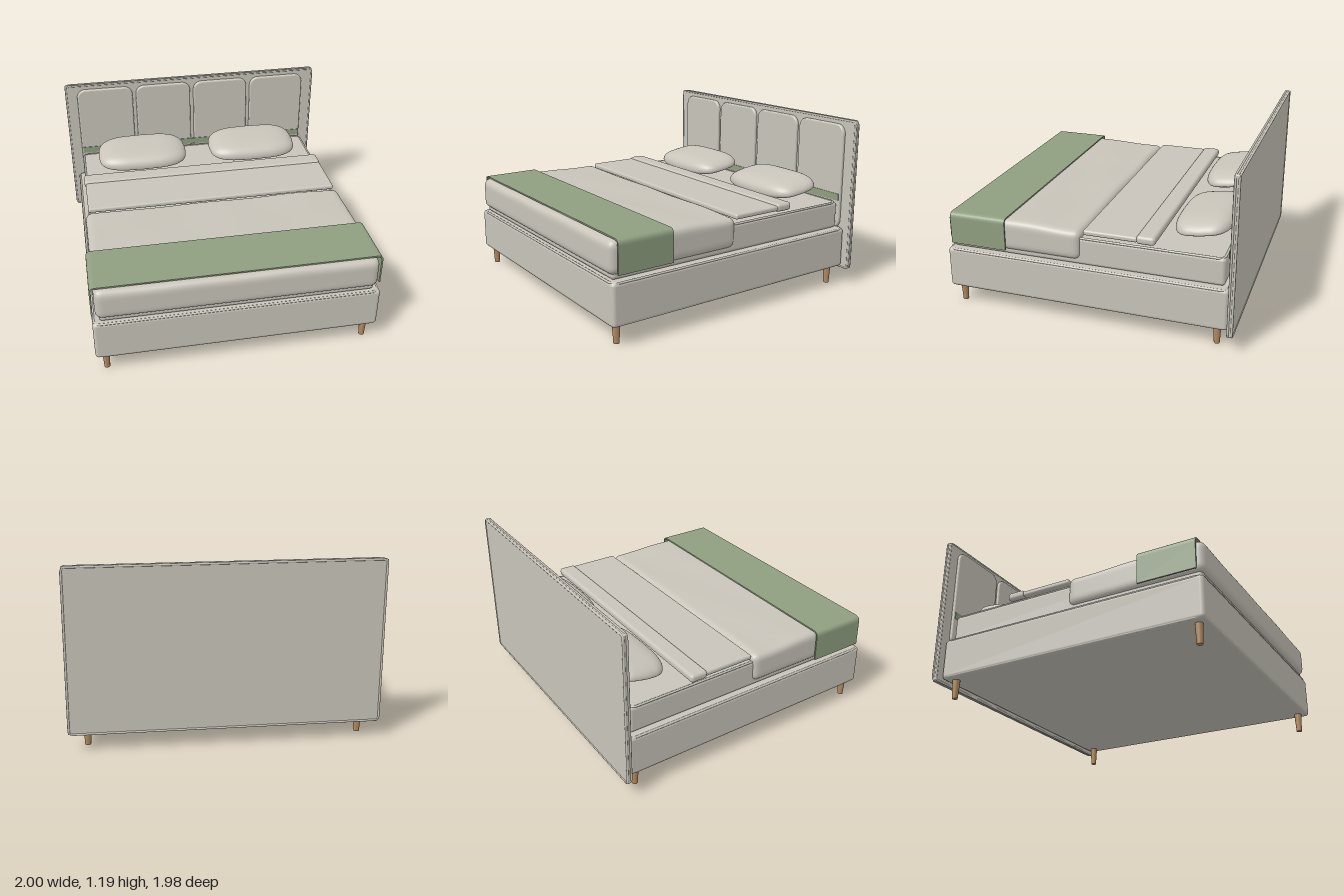
import * as THREE from 'three';
import { mergeVertices } from 'three/addons/utils/BufferGeometryUtils.js';
import { RoundedBoxGeometry } from 'three/addons/geometries/RoundedBoxGeometry.js';

const material = (name, color, side = THREE.FrontSide) => {
  const m = new THREE.MeshStandardMaterial({ color, side });
  m.name = name;
  return m;
};

// Rounded rectangle centred on the origin
function roundedRect(w, h, r) {
  const x = w / 2, y = h / 2, s = new THREE.Shape();
  s.moveTo(-x + r, -y);
  s.lineTo(x - r, -y).absarc(x - r, -y + r, r, -Math.PI / 2, 0);
  s.lineTo(x, y - r).absarc(x - r, y - r, r, 0, Math.PI / 2);
  s.lineTo(-x + r, y).absarc(-x + r, y - r, r, Math.PI / 2, Math.PI);
  s.lineTo(-x, -y + r).absarc(-x + r, -y + r, r, Math.PI, Math.PI * 1.5);
  return s;
}

// Closed cord following a rounded rectangle in the xy plane
function pipingGeometry(w, h, r, radius) {
  const outline = roundedRect(w, h, r).getPoints(6);
  const path = new THREE.CurvePath();
  const pts = outline.map(p => new THREE.Vector3(p.x, p.y, 0))
    .filter((p, i, a) => i === 0 || p.distanceTo(a[i - 1]) > 1e-5);
  if (pts[0].distanceTo(pts[pts.length - 1]) < 1e-5) pts.pop();
  pts.forEach((p, i) => path.add(new THREE.LineCurve3(p, pts[(i + 1) % pts.length])));
  return new THREE.TubeGeometry(path, 240, radius, 8, true);
}

// Moves every vertex by a rule, then smooths the normals
function reshape(geo, rule) {
  const pos = geo.attributes.position, v = new THREE.Vector3();
  for (let i = 0; i < pos.count; i++) {
    rule(v.fromBufferAttribute(pos, i));
    pos.setXYZ(i, v.x, v.y, v.z);
  }
  geo.deleteAttribute('uv');
  geo.deleteAttribute('normal');
  const merged = mergeVertices(geo, 1e-5);
  merged.computeVertexNormals();
  return merged;
}

// Soft box with a gently rumpled top
function duvetGeometry(w, h, d, r) {
  const half = new THREE.Vector3(w / 2, h / 2, d / 2);
  const inner = half.clone().subScalar(r);
  const ease = t => Math.sin(t * Math.PI / 2);
  return reshape(new THREE.BoxGeometry(2, 2, 2, 44, 16, 36), p => {
    p.set(ease(p.x), ease(p.y), ease(p.z)).multiply(half);
    const core = p.clone().clamp(inner.clone().negate(), inner);
    p.sub(core).setLength(r).add(core);
    const top = THREE.MathUtils.smoothstep(p.y, 0, half.y);
    const back = THREE.MathUtils.smoothstep(-p.z, -0.1, half.z);
    p.y += top * (0.004 * Math.sin(p.x * 7 + p.z * 5) * Math.cos(p.z * 9 - p.x * 3) - 0.01 * back);
    p.z += back * 0.004 * Math.sin(p.x * 8);
  });
}

// Plump pillow: squarish footprint, pinched ends, flatter underside
function pillowGeometry() {
  const soft = (a, e) => Math.sign(a) * Math.pow(Math.abs(a), e);
  return reshape(new THREE.SphereGeometry(1, 48, 32), p => {
    const r = Math.hypot(p.x, p.z) || 1e-9;
    const spread = Math.pow(Math.min(r, 1), 0.55);
    const u = soft(p.x / r, 0.4) * spread, v = soft(p.z / r, 0.4) * spread;
    p.set(0.345 * u * (1 - 0.1 * v * v), p.y * (p.y > 0 ? 0.08 : 0.04), 0.2 * v * (1 - 0.12 * u * u));
  });
}

export function createModel() {
  const bed = new THREE.Group();
  bed.name = 'bed';
  const fabric = material('warm grey fabric', 0xc8c4ba);
  const green = material('sage green cloth', 0x8f9f80, THREE.DoubleSide);
  const wood = material('light wood', 0xb08a60);

  const add = (name, geo, mat, x, y, z) => {
    const mesh = new THREE.Mesh(geo, mat);
    mesh.name = name;
    mesh.position.set(x, y, z);
    bed.add(mesh);
    return mesh;
  };
  // Rounded block given by its limits
  const block = (name, x0, x1, y0, y1, z0, z1, r) =>
    add(name, new RoundedBoxGeometry(x1 - x0, y1 - y0, z1 - z0, 4, r), fabric,
      (x0 + x1) / 2, (y0 + y1) / 2, (z0 + z1) / 2);
  const flatPiping = (name, w, d, y, z) => {
    add(name, pipingGeometry(w, d, 0.04, 0.008), fabric, 0, y, z).rotation.x = Math.PI / 2;
  };

  // Upholstered base with corded edges
  block('base', -0.955, 0.955, 0.13, 0.415, -0.945, 0.985, 0.025);
  flatPiping('baseLowerPiping', 1.89, 1.91, 0.143, 0.02);
  flatPiping('baseUpperPiping', 1.89, 1.91, 0.408, 0.02);

  // Mattress
  block('mattress', -0.91, 0.91, 0.415, 0.605, -0.91, 0.96, 0.025);
  flatPiping('mattressLowerPiping', 1.8, 1.85, 0.432, 0.025);
  flatPiping('mattressUpperPiping', 1.8, 1.85, 0.6, 0.025);

  // Headboard slab, cords and four padded panels
  block('headboard', -0.995, 0.995, 0.115, 1.185, -0.985, -0.952, 0.008);
  for (const z of [-0.982, -0.957])
    add('headboardPiping', pipingGeometry(1.984, 1.064, 0.012, 0.008), fabric, 0, 0.65, z);
  const panel = new THREE.ExtrudeGeometry(roundedRect(0.41, 0.73, 0.055), {
    depth: 0.01, bevelThickness: 0.012, bevelSize: 0.012, bevelSegments: 4, curveSegments: 8,
  });
  for (const x of [-0.693, -0.232, 0.229, 0.69])
    add('headboardPanel', panel, fabric, x, 0.773, -0.952);
  add('headboardGreenStrip', new THREE.BoxGeometry(1.8, 0.05, 0.004), green, 0, 0.63, -0.926);

  // Duvet over the foot half
  add('duvet', duvetGeometry(1.865, 0.218, 0.955, 0.05), fabric, 0, 0.556, 0.508);

  // Folded sheet and its turned edge
  block('foldedSheet', -0.91, 0.91, 0.627, 0.663, -0.345, 0.02, 0.014);
  block('sheetFold', -0.918, 0.912, 0.618, 0.674, -0.46, -0.335, 0.022);

  // Throw draped across the foot
  const drape = new THREE.Shape();
  const w = 0.957, top = 0.68, hem = 0.46, r = 0.04, t = 0.01;
  drape.moveTo(-w, hem);
  drape.lineTo(-w, top - r);
  drape.quadraticCurveTo(-w, top, -w + r, top);
  drape.lineTo(w - r, top);
  drape.quadraticCurveTo(w, top, w, top - r);
  drape.lineTo(w, hem);
  drape.lineTo(w - t, hem);
  drape.lineTo(w - t, top - r);
  drape.quadraticCurveTo(w - t, top - t, w - r, top - t);
  drape.lineTo(-w + r, top - t);
  drape.quadraticCurveTo(-w + t, top - t, -w + t, top - r);
  drape.lineTo(-w + t, hem);
  add('throw', new THREE.ExtrudeGeometry(drape, { depth: 0.395, bevelEnabled: false, curveSegments: 10 }),
    green, 0, 0, 0.55);

  // Pillows leaning slightly toward the headboard
  const pillow = pillowGeometry();
  for (const x of [-0.443, 0.438])
    add('pillow', pillow, fabric, x, 0.68, -0.705).rotation.x = 0.15;

  // Tapered legs
  const leg = new THREE.CylinderGeometry(0.026, 0.019, 0.135, 20);
  for (const x of [-0.885, 0.88])
    for (const z of [0.92, -0.87]) add('leg', leg, wood, x, 0.0675, z);

  return bed;
}
